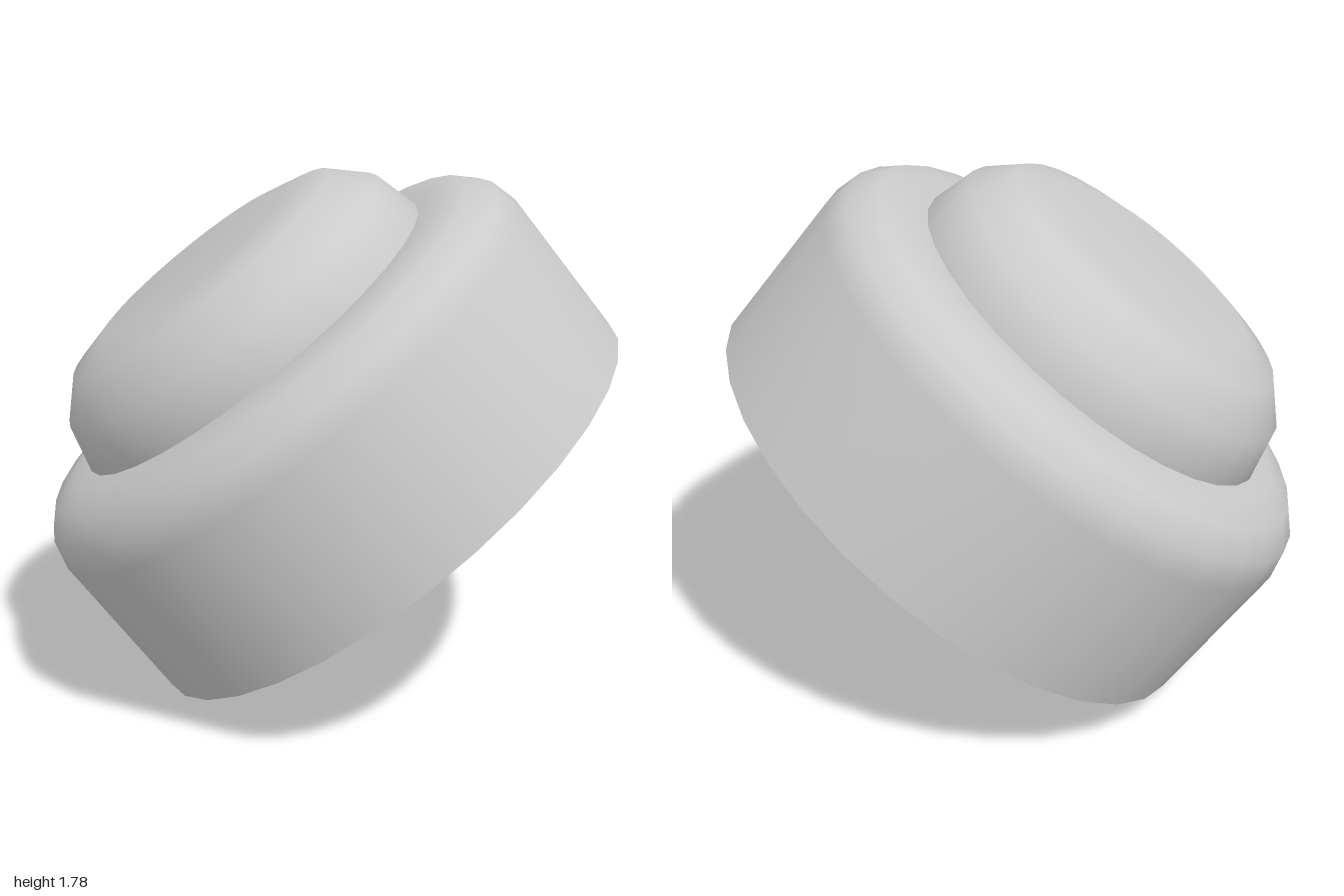
import * as THREE from 'three';

const SIDES = 32;
const FILLET_STEPS = 3;
const TILT = Math.atan2(1.23, 1.57);

const material = new THREE.MeshStandardMaterial({ color: 0xcccccc, side: THREE.DoubleSide });

// Thin open-bottomed shell: straight wall, rounded shoulder, flat top reaching in to innerRadius
function shell(name, radius, bottom, top, fillet, innerRadius) {
  const profile = [new THREE.Vector2(radius, bottom)];
  for (let i = 0; i <= FILLET_STEPS; i++) {
    const a = (i / FILLET_STEPS) * Math.PI / 2;
    profile.push(new THREE.Vector2(
      radius - fillet + fillet * Math.cos(a),
      top - fillet + fillet * Math.sin(a)
    ));
  }
  profile.push(new THREE.Vector2(innerRadius, top));
  const mesh = new THREE.Mesh(new THREE.LatheGeometry(profile, SIDES), material);
  mesh.name = name;
  return mesh;
}

export function createModel() {
  const model = new THREE.Group();
  model.name = 'tiltedCap';

  const cap = new THREE.Group();
  cap.name = 'cap';
  // Wide collar with a hole in its top
  cap.add(shell('outerCollar', 1, 0, 0.76, 0.2, 0.72));
  // Narrower dome passing through the collar, open underneath
  cap.add(shell('innerDome', 0.72, 0.285, 1.085, 0.32, 0));

  // Lean the cap so the lowest point of its rim rests on the ground
  cap.rotation.z = TILT;
  cap.position.set(0.195, Math.sin(TILT), 0);
  model.add(cap);
  return model;
}
